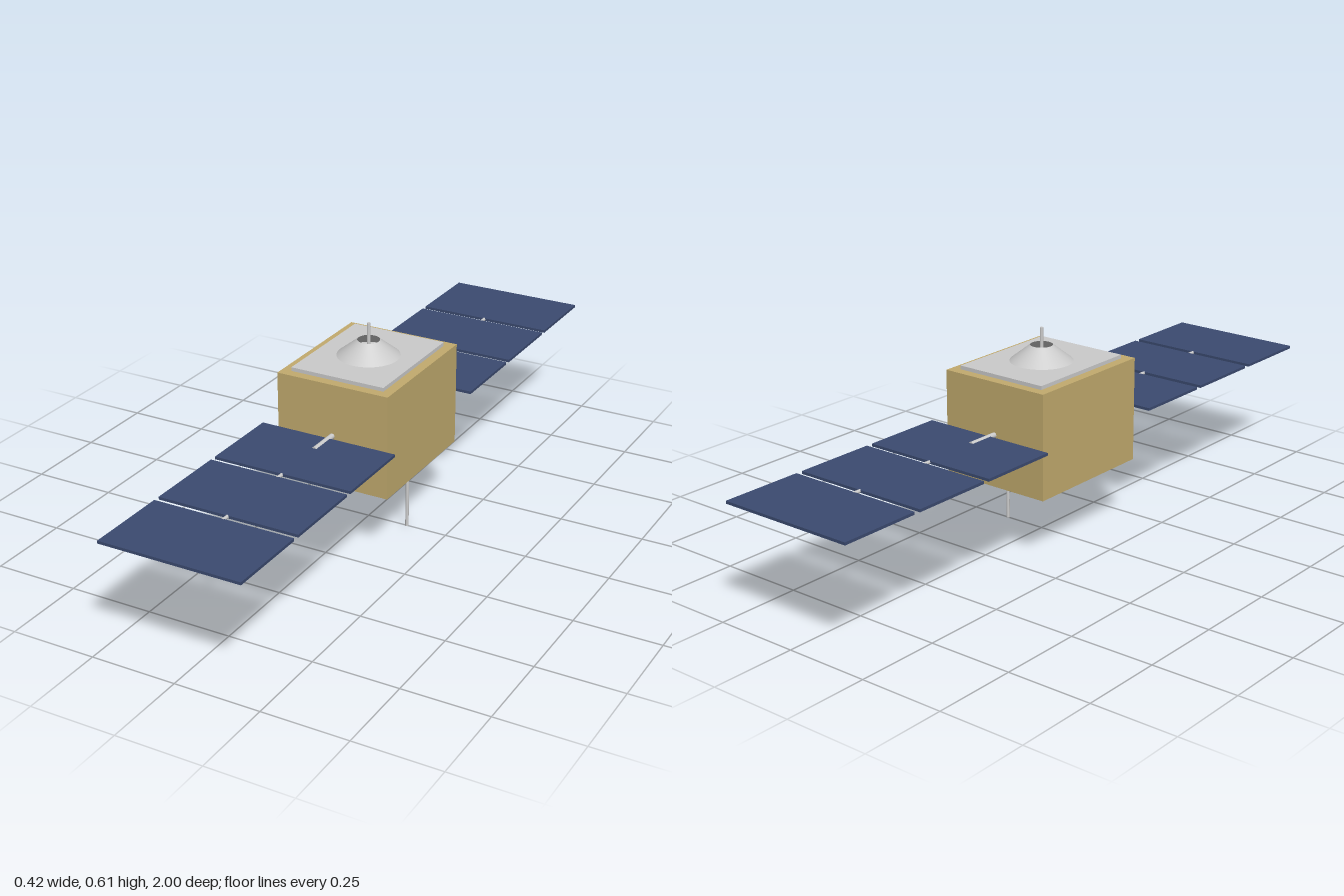
import * as THREE from 'three';

const mat = (color, side = THREE.FrontSide) => new THREE.MeshStandardMaterial({ color, side });

export function createModel() {
  const root = new THREE.Group();
  const grey = mat(0xcccccc);
  const gold = mat(0xc2ab6e);
  const blue = mat(0x3b4a70);
  const dark = mat(0x666262);

  const add = (name, geometry, material, x, y, z, parent = root) => {
    const mesh = new THREE.Mesh(geometry, material);
    mesh.name = name;
    mesh.position.set(x, y, z);
    parent.add(mesh);
    return mesh;
  };
  const box = (w, h, d) => new THREE.BoxGeometry(w, h, d);
  const rod = (r, h) => new THREE.CylinderGeometry(r, r, h, 16);

  // Body with its top deck and the sensor underneath
  add('body', box(0.344, 0.307, 0.416), gold, 0, 0.3455, 0);
  add('topDeck', box(0.288, 0.011, 0.36), grey, 0, 0.5045, 0);
  add('bottomSensor', box(0.09, 0.017, 0.09), dark, 0, 0.1835, 0);

  // Open conical dish with a feed mast, and the whip antenna below
  add('dish', new THREE.CylinderGeometry(0.032, 0.09, 0.046, 48, 1, true),
    mat(0xcccccc, THREE.DoubleSide), 0, 0.533, 0);
  add('feedMast', rod(0.005, 0.096), grey, 0, 0.558, 0);
  add('whipAntenna', rod(0.005, 0.194), grey, 0.126, 0.097, 0);

  // A solar wing on the front and a matching one on the back
  const panelLength = 0.243, pitch = 0.2625, y = 0.345;
  for (const s of [1, -1]) {
    const wing = new THREE.Group();
    wing.name = s > 0 ? 'frontWing' : 'backWing';
    root.add(wing);
    add('wingBoom', rod(0.008, 0.105), grey, 0, y, s * 0.2525, wing).rotation.x = Math.PI / 2;
    for (let i = 0; i < 3; i++) {
      const z = 1 - panelLength / 2 - i * pitch;
      add('solarPanel', box(0.416, 0.008, panelLength), blue, 0, y, s * z, wing);
      // Hinge pin bridging the gap to the next panel
      if (i < 2) {
        add('panelHinge', rod(0.005, 0.024), grey, 0, y, s * (z - pitch / 2), wing).rotation.x = Math.PI / 2;
      }
    }
  }
  return root;
}
